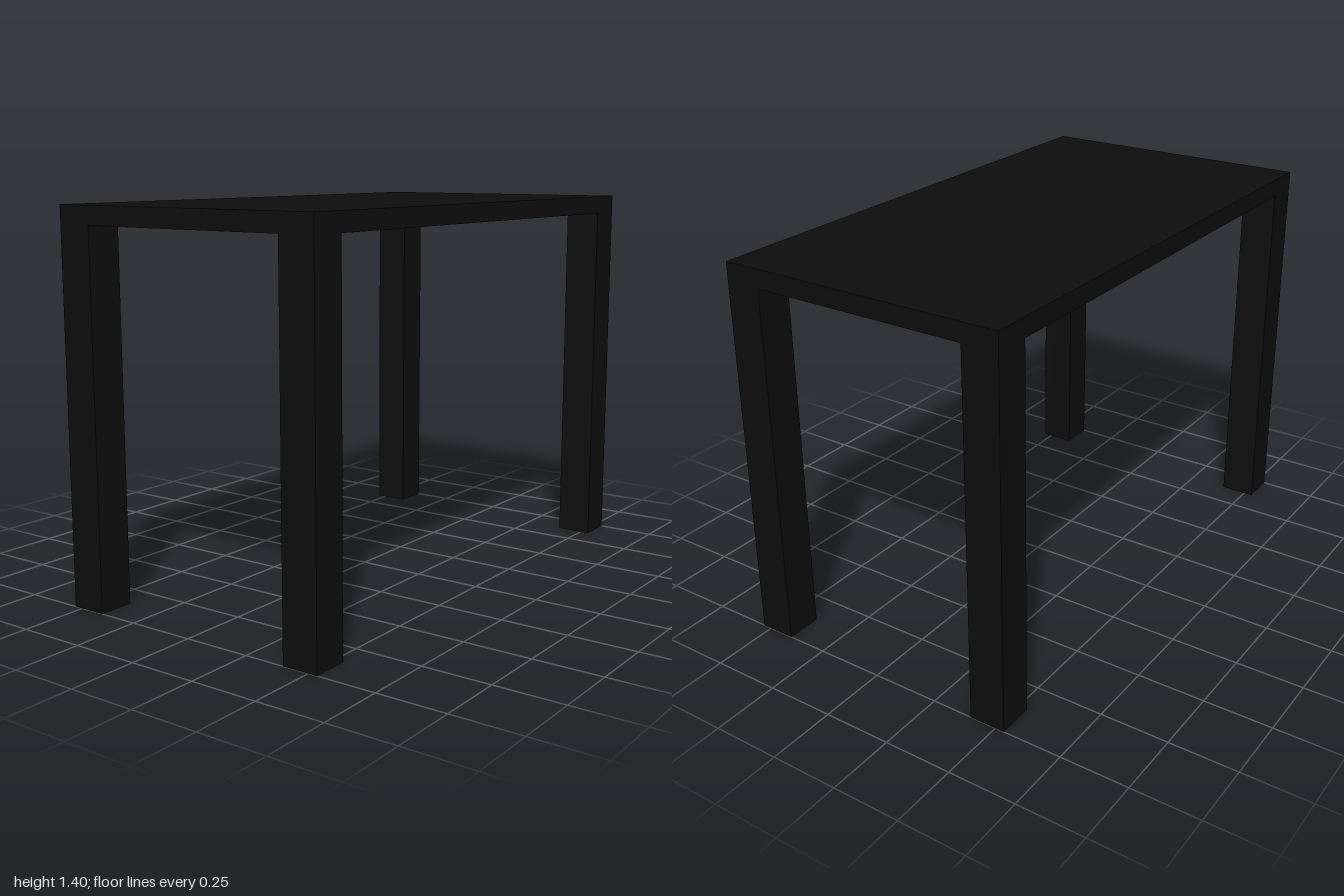
import * as THREE from 'three';

const WIDTH = 2, DEPTH = 1.067, HEIGHT = 1.4;
const TOP = 0.067, LEG = 0.133;

export function createModel() {
  const table = new THREE.Group();
  table.name = 'table';
  const black = new THREE.MeshStandardMaterial({ color: 0x0d0d0d });

  const addBox = (name, w, h, d, x, y, z) => {
    const mesh = new THREE.Mesh(new THREE.BoxGeometry(w, h, d), black);
    mesh.name = name;
    mesh.position.set(x, y, z);
    table.add(mesh);
  };

  // Flat slab top
  addBox('tableTop', WIDTH, TOP, DEPTH, 0, HEIGHT - TOP / 2, 0);

  // Square legs, flush with the corners of the top
  const legHeight = HEIGHT - TOP;
  for (const [side, sx] of [['Left', 1], ['Right', -1]]) {
    for (const [end, sz] of [['front', 1], ['back', -1]]) {
      addBox(`${end}${side}Leg`, LEG, legHeight, LEG,
        sx * (WIDTH - LEG) / 2, legHeight / 2, sz * (DEPTH - LEG) / 2);
    }
  }

  return table;
}
